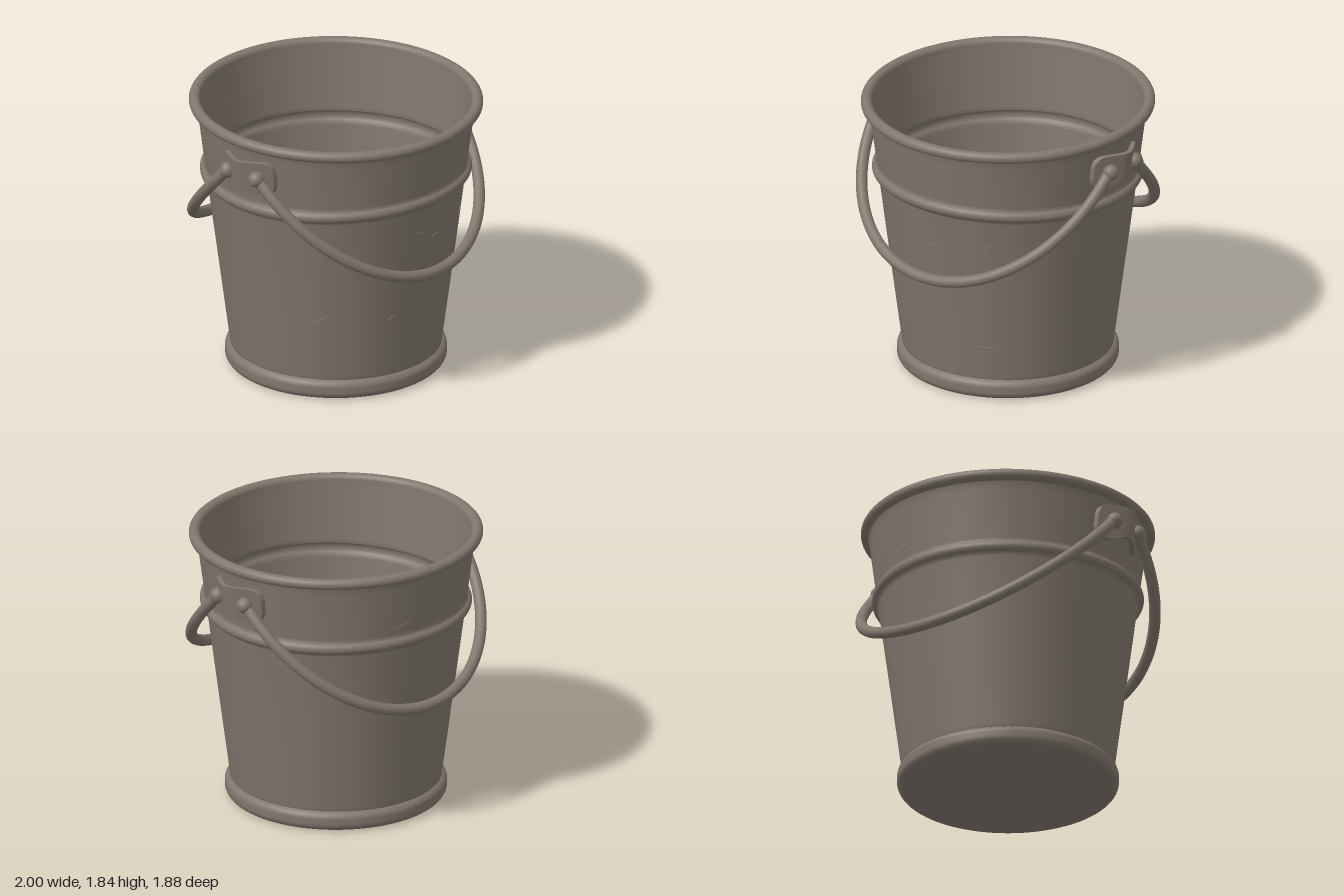
import * as THREE from 'three';

const metal = new THREE.MeshStandardMaterial({ color: 0x80766d });
metal.name = 'dull grey metal';

const wallRadius = (y) => 0.677 + (0.213 * (y - 0.13)) / 1.63;
const smooth = (a, b, t) => THREE.MathUtils.smoothstep(t, a, b);

function addMesh(parent, name, geometry) {
  const mesh = new THREE.Mesh(geometry, metal);
  mesh.name = name;
  parent.add(mesh);
  return mesh;
}

// Points along an elliptical arc, angles in degrees
function arc(cx, cy, rx, ry, from, to, n = 8) {
  return Array.from({ length: n + 1 }, (_, i) => {
    const a = THREE.MathUtils.degToRad(from + ((to - from) * i) / n);
    return new THREE.Vector2(cx + rx * Math.cos(a), cy + ry * Math.sin(a));
  });
}

// One closed profile: underside, foot ring, wall, band, rolled rim, inside, floor
function bucketGeometry() {
  const v = (x, y) => new THREE.Vector2(x, y);
  const profile = [
    v(0, 0.015), v(0.59, 0.015), v(0.62, 0.005),
    ...arc(0.655, 0.055, 0.055, 0.052, -90, 0),
    ...arc(0.655, 0.085, 0.055, 0.05, 0, 70),
    v(wallRadius(0.133), 0.133), v(wallRadius(0.16), 0.16),
    v(wallRadius(0.7), 0.7), v(wallRadius(1.27), 1.27),
    ...arc(wallRadius(1.33), 1.33, 0.036, 0.038, -75, 75, 10),
    v(wallRadius(1.39), 1.39), v(wallRadius(1.7), 1.7), v(0.887, 1.755),
    ...arc(0.904, 1.793, 0.037, 0.036, -100, 190, 22),
    v(0.862, 1.74), v(wallRadius(1.39) - 0.025, 1.39),
    ...arc(wallRadius(1.33) - 0.025, 1.33, 0.022, 0.035, 75, -75),
    v(wallRadius(1.27) - 0.025, 1.27), v(0.652, 0.13), v(0.645, 0.102),
    v(0.638, 0.1), v(0.61, 0.1), v(0.6, 0.092), v(0.585, 0.09), v(0, 0.09),
  ];
  const geometry = new THREE.LatheGeometry(profile, 96);
  const p = geometry.attributes.position;
  for (let i = 0; i < p.count; i++) {
    const x = p.getX(i), y = p.getY(i), z = p.getZ(i);
    // Slightly uneven rim and wavering band
    const rim = smooth(1.5, 1.75, y) * -0.011 * z;
    const near = smooth(1.1, 1.28, y) * (1 - smooth(1.38, 1.55, y));
    const band = near * (0.012 * z - 0.025 * x * x + 0.012);
    p.setY(i, y + rim + band);
  }
  return geometry;
}

// Bent plate with rounded corners that wraps the wall
function lugGeometry() {
  const geometry = new THREE.BoxGeometry(0.035, 1, 0.42, 1, 6, 40);
  const p = geometry.attributes.position;
  for (let i = 0; i < p.count; i++) {
    const z = p.getZ(i), d = Math.abs(z);
    const c = Math.min(1, Math.max(0, (d - 0.14) / 0.07));
    const corner = 0.07 * (1 - Math.sqrt(1 - c * c));
    const top = 1.7 - corner;
    const bottom = 1.47 + corner + 0.03 * (1 - smooth(0.02, 0.12, d));
    const y = bottom + (top - bottom) * (p.getY(i) + 0.5);
    const bend = 0.62 * (Math.hypot(z, 0.035) - 0.035);
    p.setXYZ(i, 0.9675 + p.getX(i) - bend + 0.12 * (y - 1.59), y, z);
  }
  geometry.computeVertexNormals();
  return geometry;
}

// Half-ellipse hanging outward from the two lugs
function handleGeometry() {
  const points = Array.from({ length: 33 }, (_, i) => {
    const a = (Math.PI * i) / 32, s = Math.sin(a);
    return new THREE.Vector3(0.93 * Math.cos(a), 1.59 - 0.74 * s, 0.12 + 0.74 * s);
  });
  return new THREE.TubeGeometry(new THREE.CatmullRomCurve3(points), 80, 0.037, 14);
}

export function createModel() {
  const model = new THREE.Group();
  model.name = 'bucket';
  addMesh(model, 'bucketBody', bucketGeometry());

  // Lugs, rivets and handles, each repeated half a turn round
  const lug = lugGeometry();
  const handle = handleGeometry();
  const rivet = new THREE.SphereGeometry(0.052, 24, 16);
  ['left', 'right'].forEach((side, i) => {
    const fitting = new THREE.Group();
    fitting.name = side + 'Fitting';
    fitting.rotation.y = i * Math.PI;
    addMesh(fitting, 'lug', lug);
    for (const z of [-0.12, 0.12]) {
      addMesh(fitting, 'rivet', rivet).position.set(0.94, 1.59, z);
    }
    model.add(fitting);
    addMesh(model, i ? 'backHandle' : 'frontHandle', handle).rotation.y = i * Math.PI;
  });

  // Soft cross-shaped dent mark on the floor: x, z, half width, half depth
  const arms = [[0, -0.08, 0.04, 0.1], [0, 0.06, 0.045, 0.055],
    [-0.065, 0, 0.06, 0.03], [0.065, 0, 0.065, 0.03]];
  for (const [x, z, w, d] of arms) {
    const arm = addMesh(model, 'floorMark', new THREE.SphereGeometry(1, 20, 12));
    arm.position.set(x, 0.09, z);
    arm.scale.set(w, 0.012, d);
  }

  // Fine scratches on the wall: angle from front, height, length, tilt
  const scratches = [[-0.17, 1.13, 0.08, -0.2], [0.04, 1.07, 0.09, 0.1],
    [0.52, 1.11, 0.15, 0.5], [-0.36, 0.56, 0.09, 0.5], [0.38, 0.45, 0.07, -0.5],
    [0.48, 0.37, 0.1, 0], [0.1, 0.23, 0.08, 0], [-1.0, 0.58, 0.13, 0.4],
    [2.9, 1.45, 0.16, 0.2]];
  for (const [angle, y, length, tilt] of scratches) {
    const pivot = new THREE.Group();
    pivot.name = 'scratch';
    pivot.rotation.y = angle;
    const line = addMesh(pivot, 'scratchLine', new THREE.SphereGeometry(1, 10, 6));
    line.position.set(0, y, wallRadius(y) - 0.001);
    line.scale.set(length / 2, 0.004, 0.003);
    line.rotation.z = tilt;
    model.add(pivot);
  }
  return model;
}
